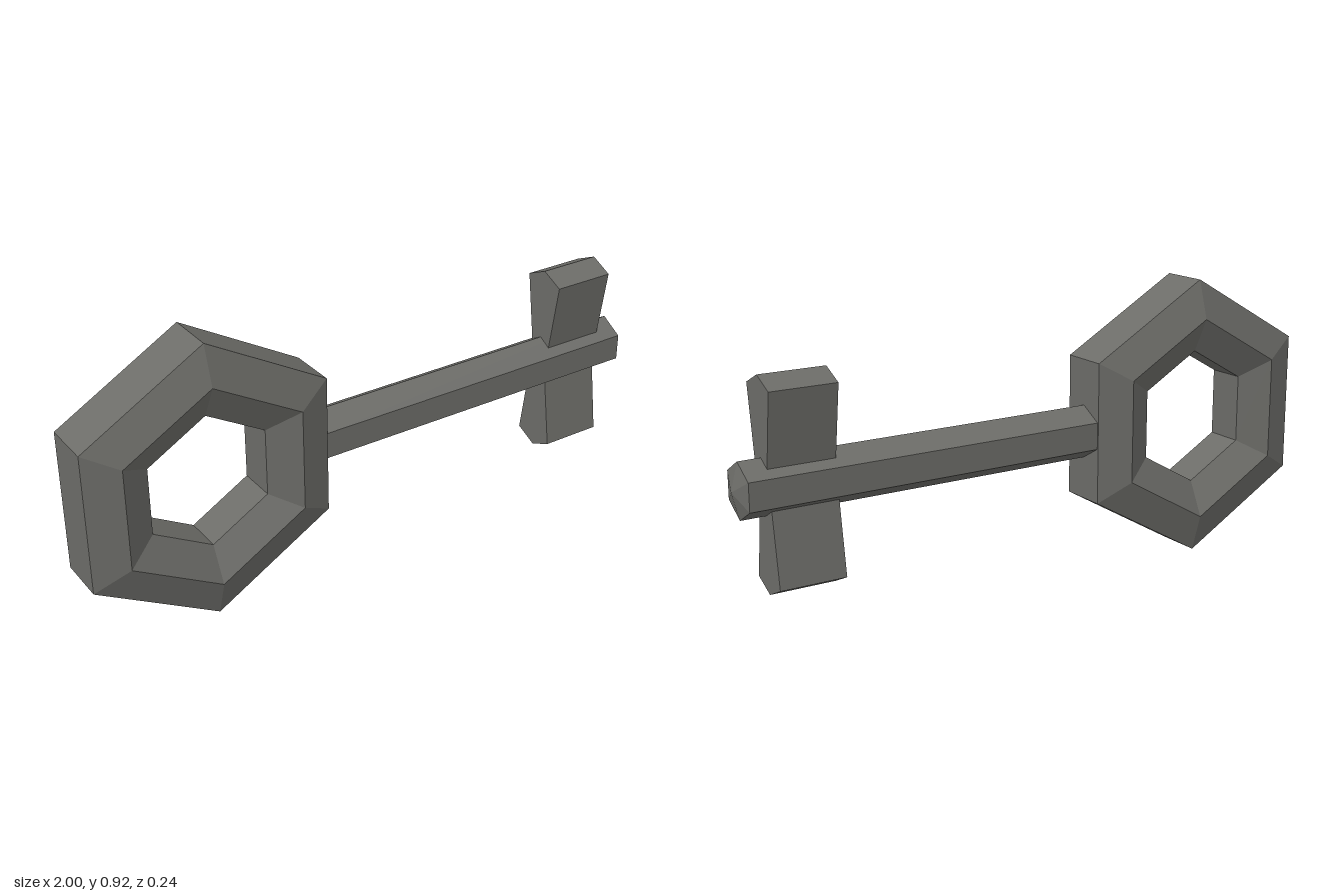
import * as THREE from 'three';

const CENTER_Y = 0.46;
const SHAFT_Y = 0.454;

// Faceted normals for crisp low-poly faces
function facet(geometry) {
  const flat = geometry.index ? geometry.toNonIndexed() : geometry;
  flat.computeVertexNormals();
  return flat;
}

// Six-sided solid turned from [radius, height] pairs
function hexLathe(profile, phiStart = 0) {
  const points = profile.map(([r, h]) => new THREE.Vector2(r, h));
  return new THREE.LatheGeometry(points, 6, phiStart);
}

export function createModel() {
  const model = new THREE.Group();
  model.name = 'key';
  const iron = new THREE.MeshStandardMaterial({ color: 0x6c6c68 });
  iron.name = 'dark iron';

  function add(name, geometry, x, y) {
    const mesh = new THREE.Mesh(facet(geometry), iron);
    mesh.name = name;
    mesh.position.set(x, y, 0);
    model.add(mesh);
  }

  // Hexagonal bow with a bevelled six-sided cross-section
  const bow = hexLathe([
    [0.46, -0.08], [0.46, 0.08], [0.335, 0.118],
    [0.222, 0.063], [0.222, -0.063], [0.335, -0.118], [0.46, -0.08],
  ]);
  bow.rotateX(-Math.PI / 2);
  add('bow', bow, -0.602, CENTER_Y);

  // Hexagonal shaft with a shallow pointed tip
  const shaft = hexLathe([[0, -0.21], [0.087, -0.21], [0.087, 0.976], [0, 0.998]], Math.PI / 2);
  shaft.rotateZ(-Math.PI / 2);
  add('shaft', shaft, 0, SHAFT_Y);

  // Flared teeth with ridged ends, above and below the shaft
  function tooth(name, direction, xStart, width) {
    const outline = [[-0.034, 0.01], [0.034, 0.01], [0.076, 0.291], [0, 0.326], [-0.076, 0.291]];
    const shape = new THREE.Shape(outline.map(([z, y]) => new THREE.Vector2(z, y * direction)));
    const geometry = new THREE.ExtrudeGeometry(shape, { depth: width, bevelEnabled: false });
    geometry.rotateY(Math.PI / 2);
    add(name, geometry, xStart, SHAFT_Y);
  }
  tooth('upperTooth', 1, 0.693, 0.212);
  tooth('lowerTooth', -1, 0.687, 0.21);

  return model;
}
